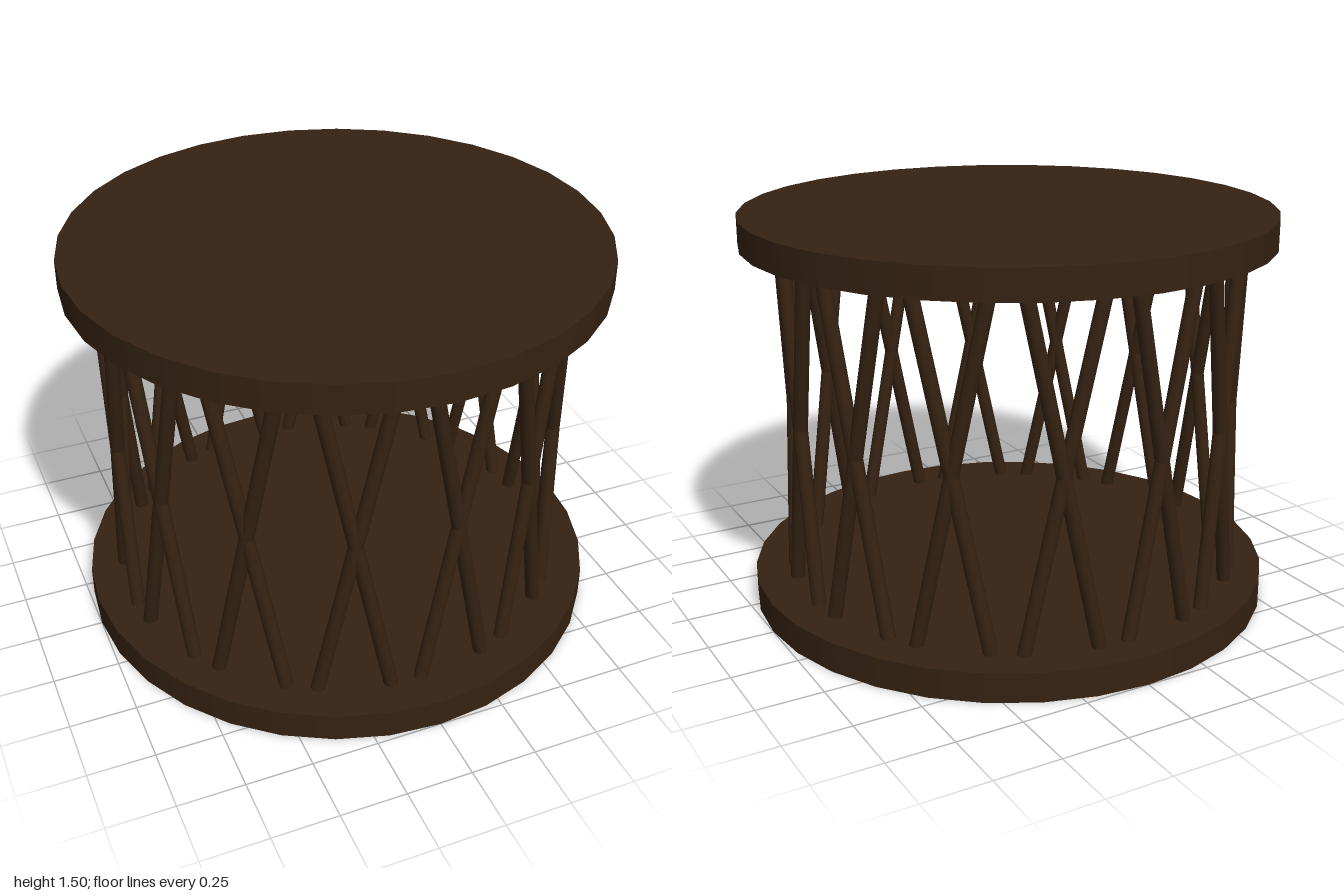
import * as THREE from 'three';

export function createModel() {
  const group = new THREE.Group();
  group.name = 'latticeTable';
  const wood = new THREE.MeshStandardMaterial({ color: 0x352212 });

  const HEIGHT = 1.505, SLAB = 0.112;

  // Round top and base slabs
  const slabGeometry = new THREE.CylinderGeometry(1, 1, SLAB, 32);
  const addSlab = (name, y) => {
    const slab = new THREE.Mesh(slabGeometry, wood);
    slab.name = name;
    slab.position.y = y;
    group.add(slab);
  };
  addSlab('tableTop', HEIGHT - SLAB / 2);
  addSlab('base', SLAB / 2);

  // Ring of crossed straight rods between the slabs
  const PAIRS = 14, RADIUS = 0.857, ROD = 0.027;
  const OFFSET = THREE.MathUtils.degToRad(8.6);
  const HALF_TWIST = THREE.MathUtils.degToRad(9.1);
  const UP = new THREE.Vector3(0, 1, 0);
  const ringPoint = (angle, y) =>
    new THREE.Vector3(RADIUS * Math.sin(angle), y, RADIUS * Math.cos(angle));

  // The ring sits very slightly off the slab centre
  const lattice = new THREE.Group();
  lattice.name = 'rodLattice';
  lattice.position.set(-0.008, 0, -0.008);
  group.add(lattice);
  for (let i = 0; i < PAIRS; i++) {
    const angle = OFFSET + (i * Math.PI * 2) / PAIRS;
    for (const lean of [-1, 1]) {
      const bottom = ringPoint(angle - lean * HALF_TWIST, SLAB - 0.01);
      const top = ringPoint(angle + lean * HALF_TWIST, HEIGHT - SLAB + 0.01);
      const axis = top.clone().sub(bottom);
      const rod = new THREE.Mesh(
        new THREE.CylinderGeometry(ROD, ROD, axis.length(), 10), wood);
      rod.name = lean < 0 ? 'leftLeaningRod' : 'rightLeaningRod';
      rod.position.copy(bottom).add(top).multiplyScalar(0.5);
      rod.quaternion.setFromUnitVectors(UP, axis.normalize());
      lattice.add(rod);
    }
  }
  return group;
}
